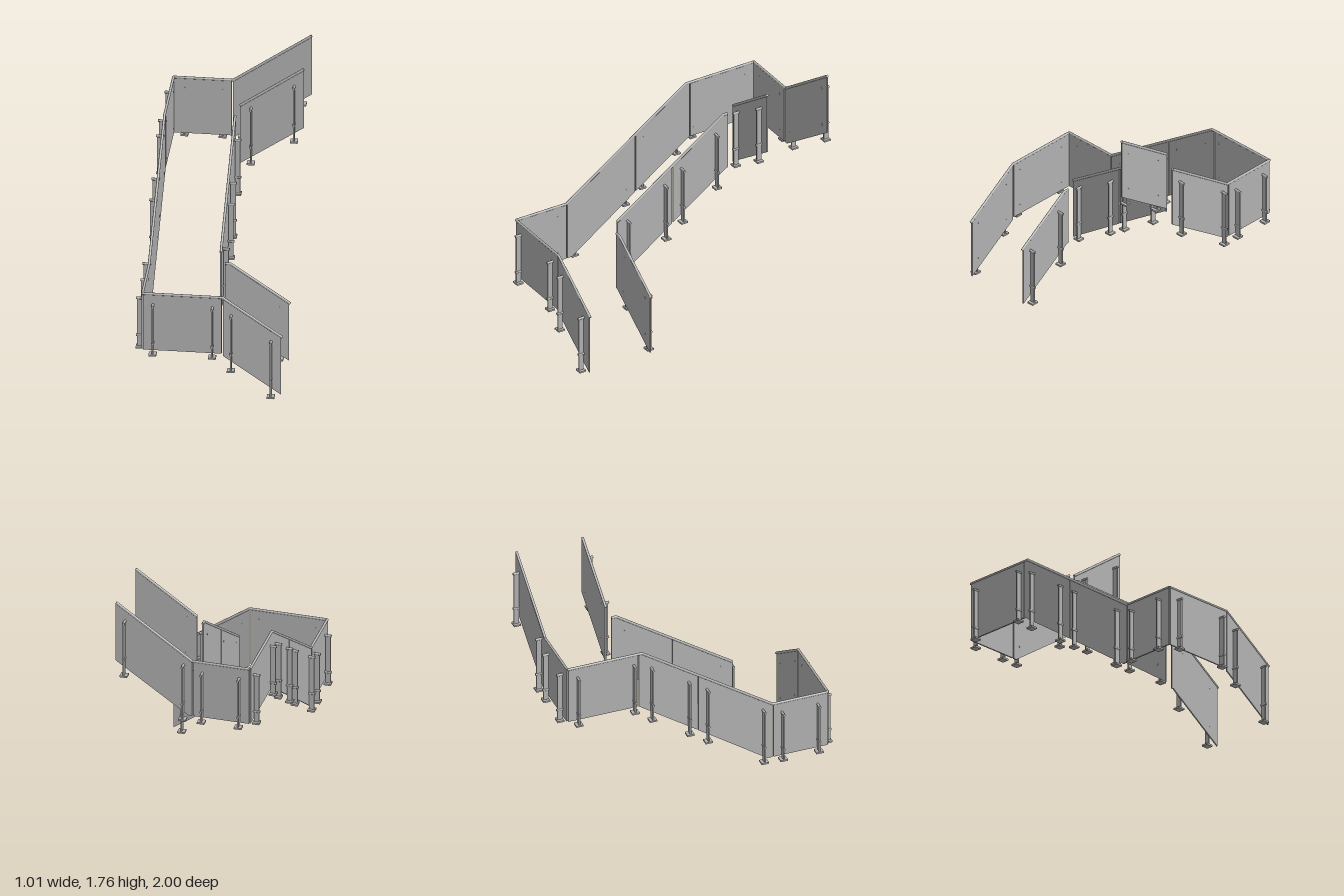
import * as THREE from 'three';

const THICK = 0.01;      // panel thickness
const RAIL_R = 0.009;    // handrail radius
const OFFSET = 0.027;    // post distance from the panel plane

export function createModel() {
  const steel = new THREE.MeshStandardMaterial({ color: 0xb0b0b0 });
  steel.name = 'brushed steel grey';
  const model = new THREE.Group();
  model.name = 'staircaseRailing';

  const add = (parent, geometry, name, x = 0, y = 0, z = 0) => {
    const mesh = new THREE.Mesh(geometry, steel);
    mesh.name = name;
    mesh.position.set(x, y, z);
    parent.add(mesh);
    return mesh;
  };

  const plateGeo = new THREE.BoxGeometry(0.052, 0.012, 0.05);
  const pinGeo = new THREE.CylinderGeometry(0.009, 0.009, 0.057, 12).rotateX(Math.PI / 2);

  // flat-bar post with a foot plate and two pins through the panel
  const addPost = (wall, u, base, top, side) => {
    const post = new THREE.Group();
    post.name = 'post';
    post.position.set(u, 0, side * OFFSET);
    wall.add(post);
    add(post, plateGeo, 'footPlate', 0, base + 0.006, 0);
    add(post, new THREE.BoxGeometry(0.01, top - base, 0.036), 'postBar', 0, (top + base) / 2, 0);
    for (const y of [top, top - 0.283]) add(post, pinGeo, 'panelPin', 0, y, -side * 0.0045);
  };

  // panel outline in (along, up), extruded to a sheet
  const addPanel = (wall, outline) => {
    const shape = new THREE.Shape(outline.map(([u, y]) => new THREE.Vector2(u, y)));
    const geo = new THREE.ExtrudeGeometry(shape, { depth: THICK, bevelEnabled: false });
    add(wall, geo, 'panel', 0, 0, -THICK / 2);
  };

  // round handrail through points, with ball joints at the bends
  const addRail = (wall, points) => {
    const pts = points.map(([u, y]) => new THREE.Vector3(u, y, 0));
    for (let i = 0; i + 1 < pts.length; i++) {
      const dir = pts[i + 1].clone().sub(pts[i]);
      const mid = pts[i].clone().add(pts[i + 1]).multiplyScalar(0.5);
      const bar = add(wall, new THREE.CylinderGeometry(RAIL_R, RAIL_R, dir.length(), 16), 'handrail', mid.x, mid.y, 0);
      bar.quaternion.setFromUnitVectors(new THREE.Vector3(0, 1, 0), dir.normalize());
      if (i > 0) add(wall, new THREE.SphereGeometry(RAIL_R, 16, 10), 'railJoint', pts[i].x, pts[i].y, 0);
    }
  };

  // a wall runs along x at z = at, or along z at x = at; side picks the post face
  const addWall = ({ name, axis, at, side, panels, rail, posts }) => {
    const wall = new THREE.Group();
    wall.name = name;
    if (axis === 'z') {
      wall.rotation.y = -Math.PI / 2;
      wall.position.x = at;
    } else wall.position.z = at;
    panels.forEach((p) => addPanel(wall, p));
    addRail(wall, rail);
    posts.forEach(([u, base, top]) => addPost(wall, u, base, top, side));
    model.add(wall);
  };

  // lower flight beside the front
  addWall({
    name: 'frontOuterWall', axis: 'x', at: 0.947, side: 1,
    panels: [
      [[-0.448, 0.31], [0.087, 0.31], [0.087, 0.738], [-0.448, 0.738]],
      [[0.095, 0.293], [0.49, 0.02], [0.49, 0.462], [0.095, 0.735]],
    ],
    rail: [[-0.453, 0.738], [0.093, 0.738], [0.5, 0.457]],
    posts: [[-0.38, 0.285, 0.66], [0.025, 0.285, 0.66], [0.153, 0.19, 0.607], [0.424, 0.006, 0.423]],
  });
  addWall({
    name: 'frontInnerWall', axis: 'x', at: 0.462, side: -1,
    panels: [[[0.055, 0.31], [0.07, 0.31], [0.49, 0.02], [0.49, 0.462], [0.093, 0.737], [0.055, 0.737]]],
    rail: [[0.055, 0.738], [0.093, 0.738], [0.5, 0.457]],
    posts: [[0.153, 0.19, 0.607], [0.424, 0.006, 0.423]],
  });

  // middle flight along the side
  addWall({
    name: 'sideOuterWall', axis: 'z', at: -0.453, side: 1,
    panels: [
      [[0.55, 0.31], [0.942, 0.31], [0.942, 0.738], [0.55, 0.738]],
      [[0.004, 0.661], [0.505, 0.31], [0.541, 0.31], [0.541, 0.738], [0.004, 1.104]],
      [[-0.43, 0.962], [-0.004, 0.667], [-0.004, 1.11], [-0.405, 1.383], [-0.43, 1.383]],
      [[-0.942, 0.962], [-0.438, 0.962], [-0.438, 1.383], [-0.942, 1.383]],
    ],
    rail: [[0.947, 0.738], [0.545, 0.738], [-0.405, 1.385], [-0.947, 1.385]],
    posts: [
      [0.87, 0.285, 0.66], [0.61, 0.285, 0.66], [0.472, 0.295, 0.71], [0.065, 0.565, 0.98],
      [-0.068, 0.657, 1.07], [-0.34, 0.84, 1.255], [-0.467, 0.932, 1.305], [-0.875, 0.932, 1.305],
    ],
  });
  addWall({
    name: 'sideInnerWall', axis: 'z', at: 0.025, side: -1,
    panels: [
      [[0.004, 0.661], [0.44, 0.354], [0.44, 0.808], [0.004, 1.104]],
      [[-0.44, 0.962], [-0.43, 0.962], [-0.004, 0.667], [-0.004, 1.11], [-0.405, 1.383], [-0.44, 1.383]],
    ],
    rail: [[0.44, 0.81], [-0.405, 1.385], [-0.44, 1.385]],
    posts: [[0.362, 0.38, 0.795], [0.065, 0.565, 0.98], [-0.068, 0.657, 1.07], [-0.34, 0.84, 1.255]],
  });

  // upper flight at the back
  addWall({
    name: 'backOuterWall', axis: 'x', at: -0.947, side: -1,
    panels: [
      [[-0.448, 0.962], [-0.056, 0.962], [-0.056, 1.383], [-0.448, 1.383]],
      [[-0.048, 0.962], [-0.02, 0.962], [0.49, 1.31], [0.49, 1.755], [-0.044, 1.385], [-0.048, 1.383]],
    ],
    rail: [[-0.453, 1.385], [-0.046, 1.385], [0.488, 1.757]],
    posts: [[-0.38, 0.932, 1.305], [-0.12, 0.932, 1.305], [0.012, 0.935, 1.35], [0.424, 1.21, 1.627]],
  });
  addWall({
    name: 'backInnerWall', axis: 'x', at: -0.468, side: 1,
    panels: [[[0.055, 1.013], [0.49, 1.31], [0.49, 1.755], [0.055, 1.453]]],
    rail: [[0.055, 1.455], [0.488, 1.757]],
    posts: [[0.13, 1.025, 1.442], [0.424, 1.21, 1.627]],
  });

  return model;
}
